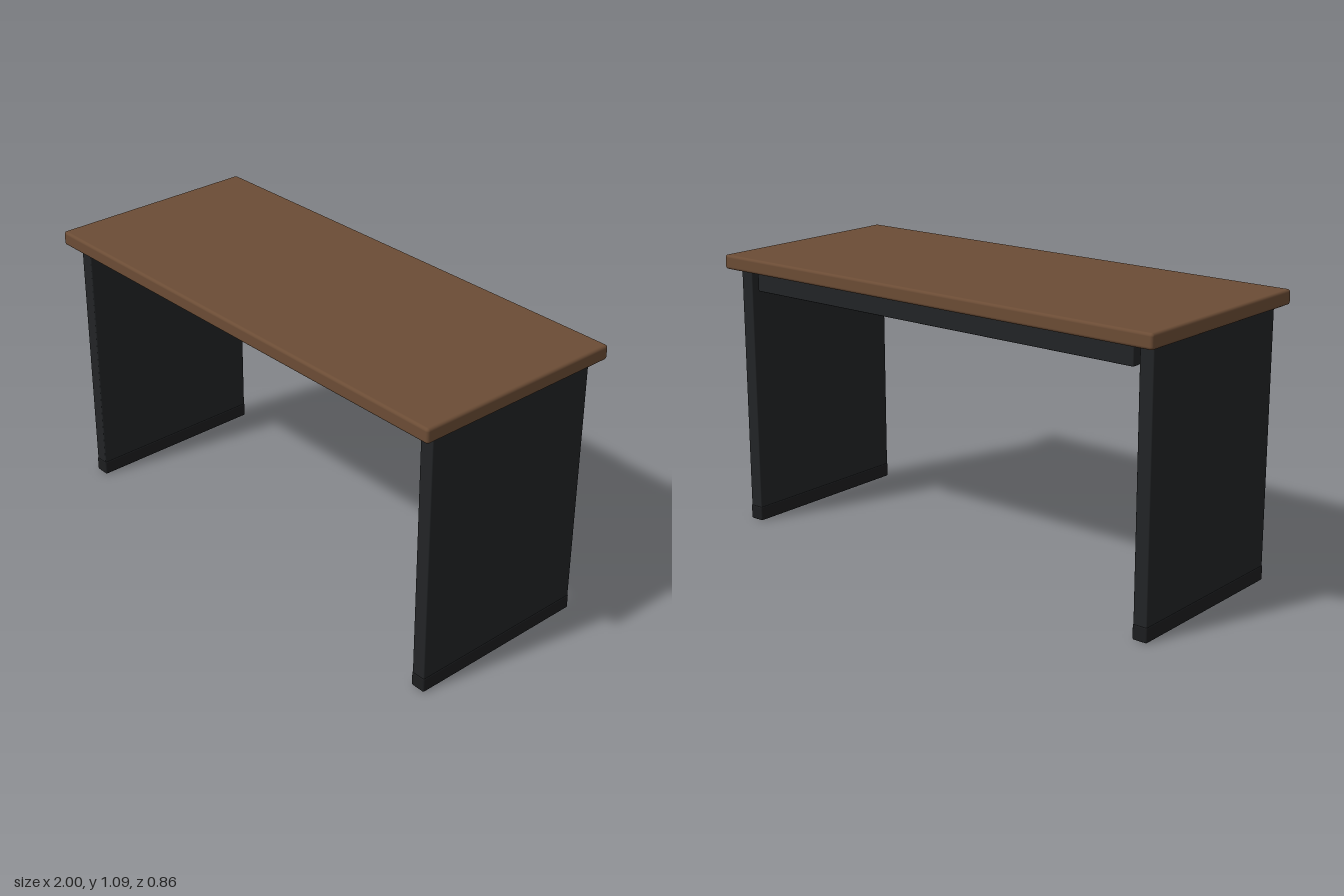
import * as THREE from 'three';
import { RoundedBoxGeometry } from 'three/addons/geometries/RoundedBoxGeometry.js';

const wood = new THREE.MeshStandardMaterial({ color: 0x6b4c35 });
const black = new THREE.MeshStandardMaterial({ color: 0x222426 });
const darkBlack = new THREE.MeshStandardMaterial({ color: 0x1c1d1f });

// Rounded box standing on height y
function block(name, material, [w, h, d], [x, y, z], radius) {
  const mesh = new THREE.Mesh(new RoundedBoxGeometry(w, h, d, 3, radius), material);
  mesh.name = name;
  mesh.position.set(x, y + h / 2, z);
  return mesh;
}

export function createModel() {
  const desk = new THREE.Group();
  desk.name = 'desk';

  // Wooden top with softened edges
  desk.add(block('tabletop', wood, [2, 0.056, 0.856], [0, 1.032, 0], 0.011));

  // Slab legs, each on a low base rail
  for (const [side, s] of [['left', 1], ['right', -1]]) {
    const leg = new THREE.Group();
    leg.name = side + 'Leg';
    leg.add(block('legPanel', black, [0.056, 1.005, 0.74], [s * 0.94, 0.03, 0], 0.004));
    leg.add(block('legBase', darkBlack, [0.06, 0.058, 0.744], [s * 0.94, 0, 0], 0.006));
    desk.add(leg);
  }

  // Stretcher under the back edge
  desk.add(block('backRail', black, [1.77, 0.085, 0.04], [0, 0.948, -0.345], 0.004));

  return desk;
}
